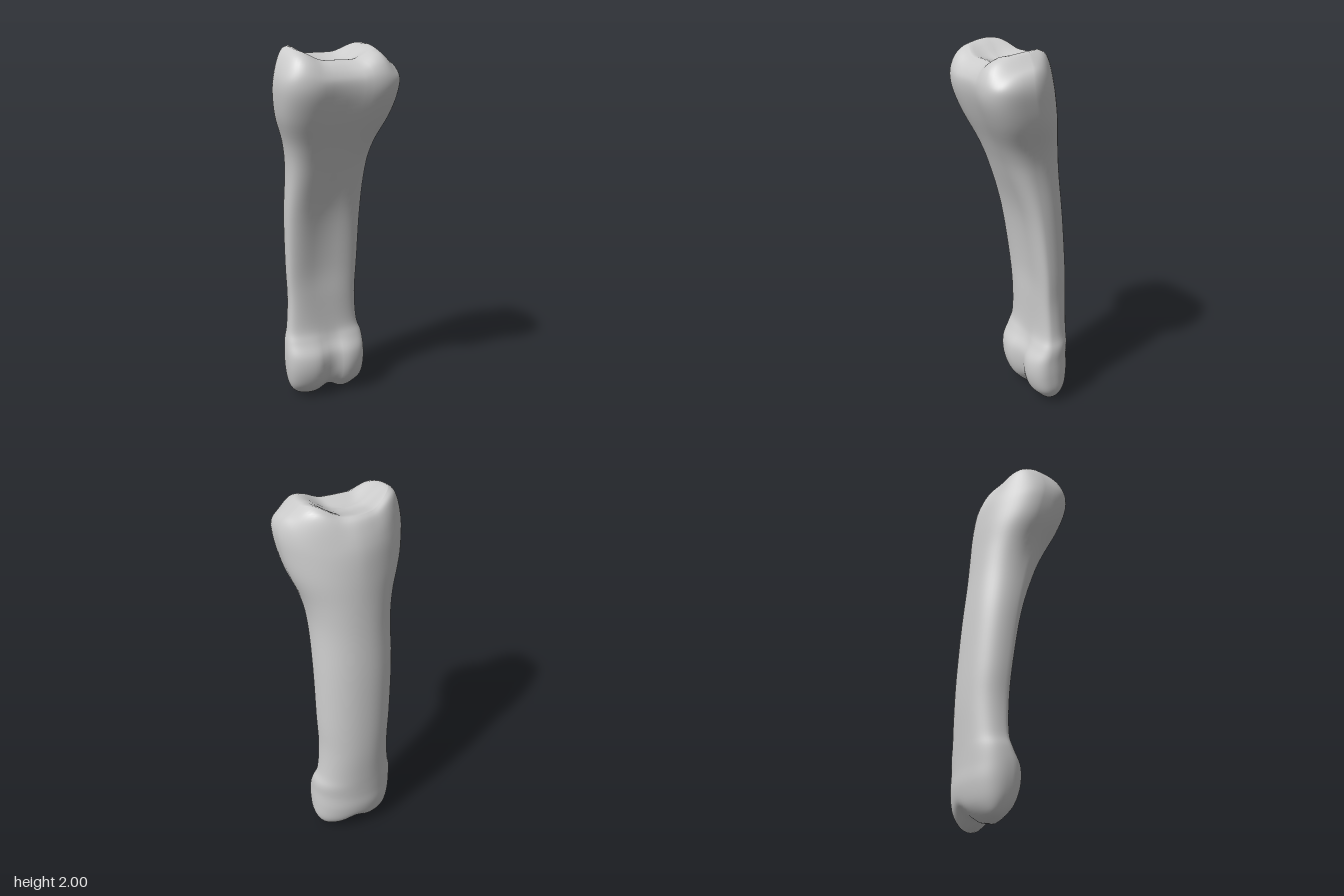
import * as THREE from 'three';

// Cross-sections of the bone, bottom to top:
// y, xMin, xMax, zBack, zFront, widest point (0 back .. 1 front), front groove depth
const SECTIONS = [
  [0.005, -0.11, 0.18, -0.175, -0.10, 0.5, 0.0],
  [0.03, -0.16, 0.215, -0.215, -0.07, 0.5, 0.01],
  [0.09, -0.192, 0.25, -0.258, -0.02, 0.55, 0.03],
  [0.18, -0.21, 0.257, -0.277, 0.008, 0.58, 0.035],
  [0.27, -0.215, 0.255, -0.276, 0.005, 0.6, 0.03],
  [0.35, -0.208, 0.25, -0.277, -0.035, 0.65, 0.02],
  [0.43, -0.192, 0.225, -0.279, -0.06, 0.7, 0.005],
  [0.6, -0.186, 0.21, -0.282, -0.058, 0.72, 0.008],
  [0.8, -0.2, 0.214, -0.275, -0.042, 0.72, 0.02],
  [1.1, -0.215, 0.212, -0.255, 0.008, 0.67, 0.025],
  [1.35, -0.218, 0.212, -0.23, 0.088, 0.6, 0.02],
  [1.5, -0.24, 0.235, -0.217, 0.15, 0.56, 0.02],
  [1.65, -0.295, 0.29, -0.205, 0.225, 0.54, 0.025],
  [1.77, -0.318, 0.314, -0.19, 0.272, 0.53, 0.03],
  [1.85, -0.318, 0.318, -0.17, 0.28, 0.53, 0.03],
  [1.91, -0.302, 0.3, -0.147, 0.26, 0.52, 0.025],
  [1.945, -0.275, 0.262, -0.125, 0.225, 0.5, 0.02],
  [1.96, -0.235, 0.205, -0.1, 0.18, 0.5, 0.015],
];
const SIDES = 64;
const STEPS = 5;
const { smoothstep } = THREE.MathUtils;
const bump = (x, centre, width) => Math.exp(-(((x - centre) / width) ** 2));

// Smoothly interpolated section at position s (in rows)
function sectionAt(s) {
  const i = Math.min(Math.floor(s), SECTIONS.length - 2);
  const f = s - i;
  const row = (k) => SECTIONS[THREE.MathUtils.clamp(k, 0, SECTIONS.length - 1)];
  const [a, b, c, d] = [row(i - 1), row(i), row(i + 1), row(i + 2)];
  return b.map((v, k) => {
    const m0 = (c[k] - a[k]) / 2;
    const m1 = (d[k] - v) / 2;
    const e = c[k] - v;
    return v + m0 * f + (3 * e - 2 * m0 - m1) * f * f + (m0 + m1 - 2 * e) * f ** 3;
  });
}

// One ring of points; scale shrinks it toward its middle to form the end caps
function ring(section, scale, drop) {
  const [y0, x0, x1, zb, zf, widest, groove] = section;
  const zm = zb + (zf - zb) * widest;
  const knuckle = 1 - smoothstep(y0, 0.3, 0.6);
  const head = smoothstep(y0, 1.4, 1.8);
  const points = [];
  for (let j = 0; j < SIDES; j++) {
    const t = (j / SIDES) * Math.PI * 2;
    const c = Math.cos(t);
    const s = Math.sin(t);
    // Squarish front, rounder back that narrows behind the head
    const e = s > 0 ? 0.68 - 0.1 * head : 0.95 + 0.17 * head;
    const px = Math.sign(c) * Math.abs(c) ** e;
    const pz = Math.abs(s) ** e;
    const x = (x0 + x1) / 2 + ((x1 - x0) / 2) * px * scale;
    let z = zm + (s > 0 ? zf - zm : zb - zm) * pz * scale;
    // Hollow along the front, tightening to the notch between the two knuckles
    const notch = bump(x, 0.045 * knuckle, 0.13 - 0.07 * knuckle);
    if (s > 0) z += (0.05 * head * x - groove * notch) * pz * scale;

    let y = y0 - drop;
    // Notch in the underside
    y += 0.04 * bump(x, 0.045, 0.055) * (1 - smoothstep(y0, 0, 0.16));
    // Rim of the head: a peak on each side, sloping to front and back
    const d = Math.abs(x + 0.025);
    const peak = smoothstep(d, 0.07, 0.2) - smoothstep(d, 0.21, 0.3);
    y += smoothstep(y0, 1.8, 1.95) * (0.042 * peak
      - 0.18 * Math.max(0, z - 0.05) - 0.12 * Math.max(0, -z - 0.03));
    points.push(x, y, z);
  }
  return points;
}

function boneGeometry() {
  const rings = [];
  const last = SECTIONS.length - 1;
  // Underside cap
  for (const k of [0, 0.35, 0.7]) rings.push(ring(SECTIONS[0], k, 0.005 * (1 - k * k)));
  // Knuckles, shaft and head
  for (let i = 0; i <= last * STEPS; i++) rings.push(ring(sectionAt(i / STEPS), 1, 0));
  // Shallow socket in the top
  for (const k of [0.9, 0.75, 0.6, 0.45, 0.3, 0.15, 0]) {
    rings.push(ring(SECTIONS[last], k, 0.04 * (1 - k * k) ** 1.5));
  }

  const index = [];
  for (let i = 0; i < rings.length - 1; i++) {
    for (let j = 0; j < SIDES; j++) {
      const n = (j + 1) % SIDES;
      const a = i * SIDES + j;
      const b = i * SIDES + n;
      index.push(a, a + SIDES, b, b, a + SIDES, b + SIDES);
    }
  }
  const geometry = new THREE.BufferGeometry();
  geometry.setAttribute('position', new THREE.Float32BufferAttribute(rings.flat(), 3));
  geometry.setIndex(index);
  geometry.computeVertexNormals();
  return geometry;
}

export function createModel() {
  const group = new THREE.Group();
  group.name = 'fingerBone';
  const bone = new THREE.Mesh(boneGeometry(), new THREE.MeshStandardMaterial({ color: 0xcccccc }));
  bone.name = 'bone';
  group.add(bone);
  return group;
}
